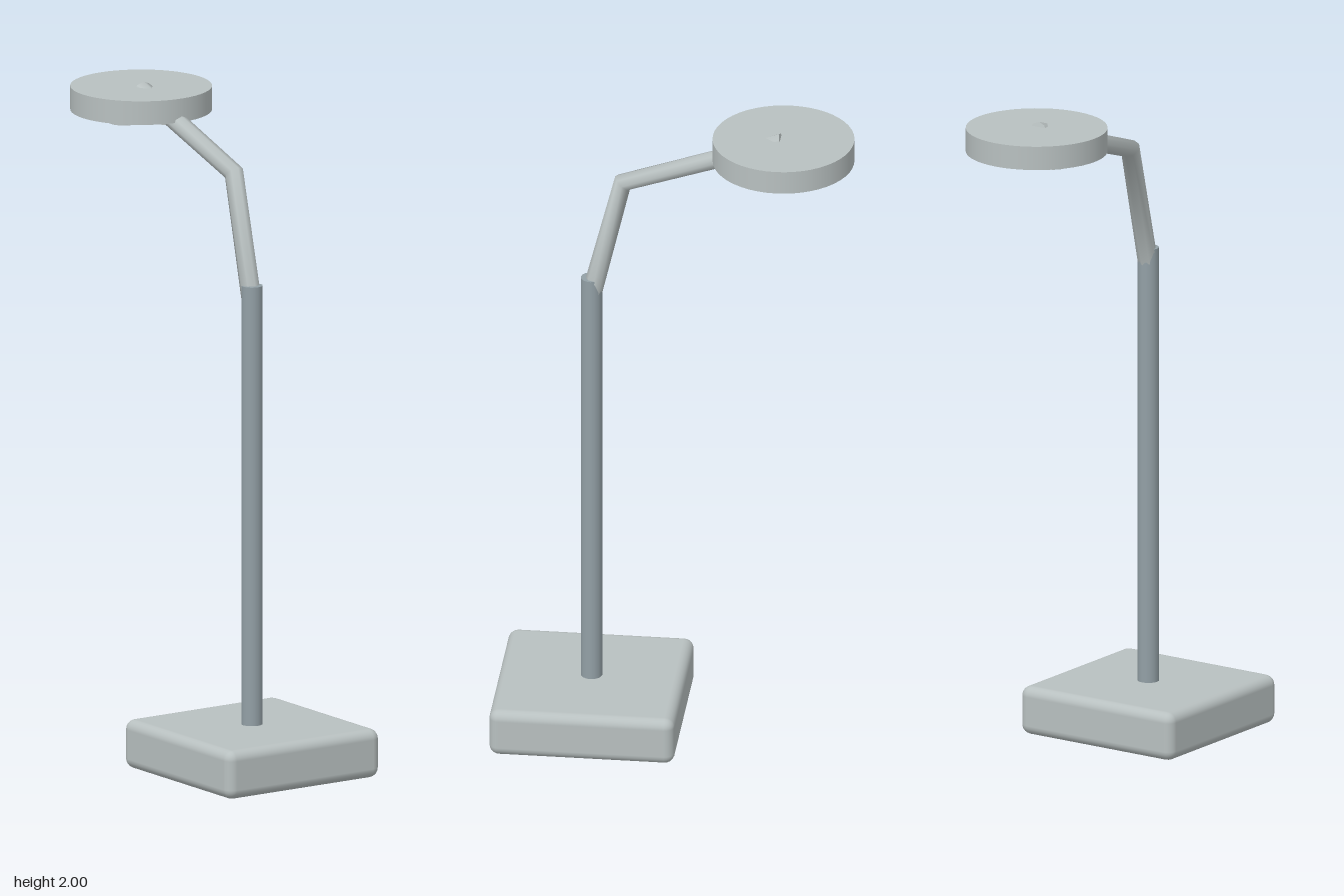
import * as THREE from 'three';
import { RoundedBoxGeometry } from 'three/addons/geometries/RoundedBoxGeometry.js';

// Bent rod: one ring per joint (mitred at the bends), closed at both ends.
function bentRod(points, radius, sides) {
  const pos = [], index = [];
  const dirs = points.slice(1).map((p, i) => p.clone().sub(points[i]).normalize());
  const side = new THREE.Vector3(0, 0, 1);
  points.forEach((p, i) => {
    const along = (dirs[i - 1] ?? dirs[i]).clone().add(dirs[i] ?? dirs[i - 1]).normalize();
    const up = new THREE.Vector3(along.y, -along.x, 0);
    for (let k = 0; k < sides; k++) {
      const a = (k / sides) * Math.PI * 2;
      const v = p.clone().addScaledVector(up, radius * Math.cos(a)).addScaledVector(side, radius * Math.sin(a));
      pos.push(v.x, v.y, v.z);
      if (i < points.length - 1) {
        const n = (k + 1) % sides, b = i * sides;
        index.push(b + k, b + sides + k, b + sides + n, b + k, b + sides + n, b + n);
      }
    }
  });
  // End caps on their own vertices so the rims stay sharp
  for (const ring of [0, points.length - 1]) {
    const start = pos.length / 3;
    pos.push(...pos.slice(ring * sides * 3, (ring + 1) * sides * 3));
    for (let k = 1; k < sides - 1; k++) {
      index.push(start, ...(ring === 0 ? [start + k, start + k + 1] : [start + k + 1, start + k]));
    }
  }
  const g = new THREE.BufferGeometry();
  g.setAttribute('position', new THREE.Float32BufferAttribute(pos, 3));
  g.setIndex(index);
  g.computeVertexNormals();
  return g;
}

export function createModel() {
  const model = new THREE.Group();
  model.name = 'lamp';
  const lightGrey = new THREE.MeshStandardMaterial({ color: 0xb8c0c0 });
  lightGrey.name = 'light grey';
  const steelGrey = new THREE.MeshStandardMaterial({ color: 0x93a0a6 });
  steelGrey.name = 'steel grey';

  const add = (name, geometry, material, x, y, z, parent = model) => {
    const mesh = new THREE.Mesh(geometry, material);
    mesh.name = name;
    mesh.position.set(x, y, z);
    parent.add(mesh);
    return mesh;
  };

  const poleX = 0.253, headX = -0.321;

  // Base and upright
  add('base', new RoundedBoxGeometry(0.554, 0.148, 0.554, 3, 0.03), lightGrey, poleX, 0.074, 0);
  add('pole', new THREE.CylinderGeometry(0.032, 0.032, 1.345, 16), steelGrey, poleX, 0.8125, 0);

  // Bent arm, its tip poking through the head
  const path = [[poleX, 1.43], [0.16, 1.81], [-0.317, 1.972]].map(([x, y]) => new THREE.Vector3(x, y, 0));
  add('arm', bentRod(path, 0.03, 8), lightGrey, 0, 0, 0);

  // Round head with a ring of six lights underneath
  const head = new THREE.Group();
  head.name = 'head';
  head.position.set(headX, 0, 0);
  model.add(head);
  add('headDisc', new THREE.CylinderGeometry(0.211, 0.211, 0.072, 48), lightGrey, 0, 1.95, 0, head);
  const lightGeometry = new THREE.CylinderGeometry(0.045, 0.045, 0.03, 24);
  for (let i = 0; i < 6; i++) {
    const a = (i * Math.PI) / 3;
    add('light' + (i + 1), lightGeometry, lightGrey, 0.12 * Math.cos(a), 1.914, 0.12 * Math.sin(a), head);
  }
  return model;
}
